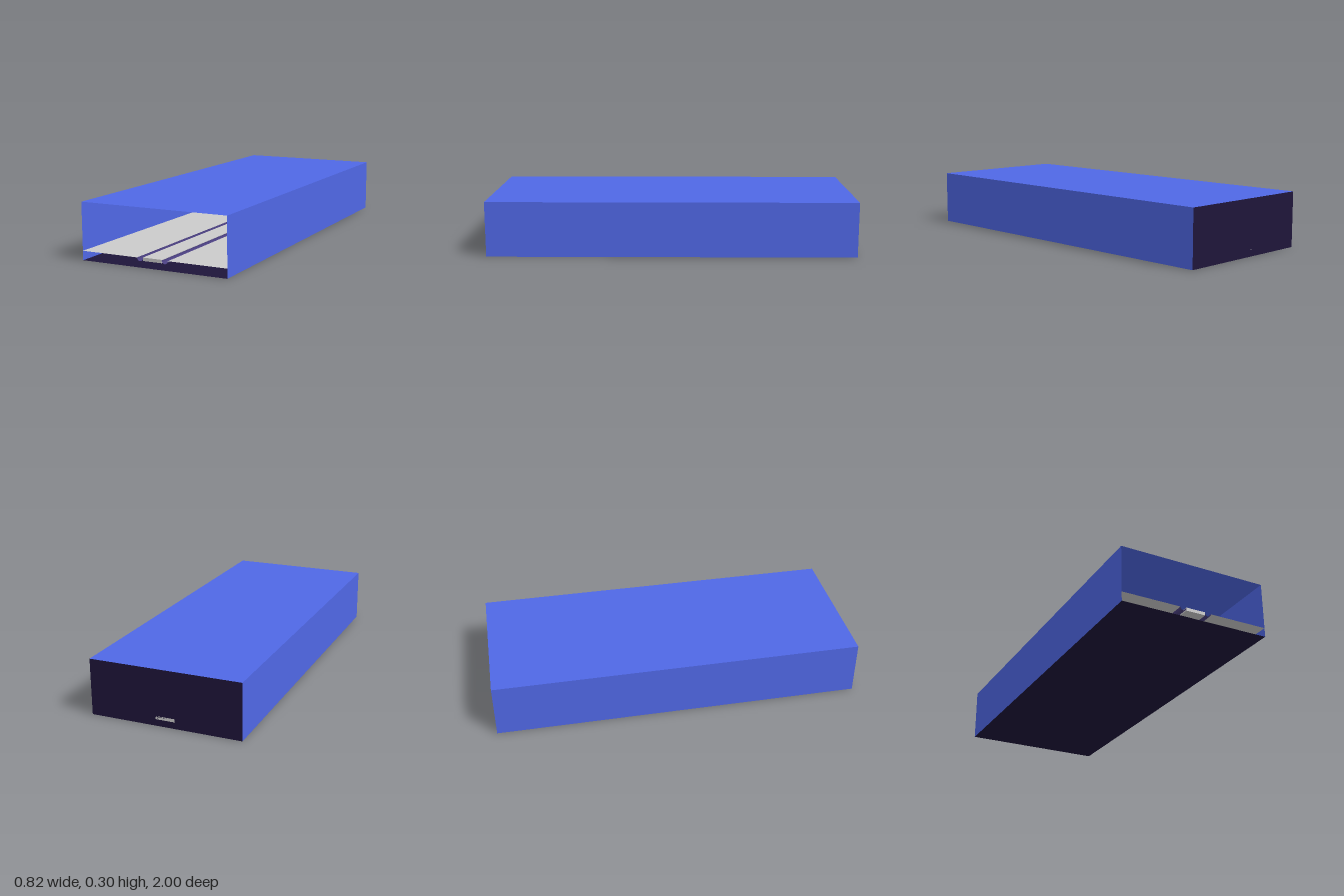
import * as THREE from 'three';

const W = 0.816, H = 0.3, L = 2;
const FLOOR_Y = 0.049, LANE_HALF = 0.053, GUTTER_OUT = 0.087, MASK_Z = -0.85;

const material = (color) => new THREE.MeshStandardMaterial({ color, side: THREE.DoubleSide, flatShading: true });

export function createModel() {
  const group = new THREE.Group();
  const blue = material(0x5068e6);
  const dark = material(0x1e153a);
  const purple = material(0x4a3f80);
  const grey = material(0xcccccc);

  const add = (name, geometry, mat, x, y, z) => {
    const mesh = new THREE.Mesh(geometry, mat);
    mesh.name = name;
    mesh.position.set(x, y, z);
    group.add(mesh);
    return mesh;
  };
  const level = (w, l) => new THREE.PlaneGeometry(w, l).rotateX(-Math.PI / 2);
  const upright = (w, h) => new THREE.PlaneGeometry(w, h);

  // Thin hall shell, open at the front
  add('ceiling', level(W, L), blue, 0, H, 0);
  add('baseFloor', level(W, L), dark, 0, 0, 0);
  add('backWall', upright(W, H), dark, 0, H / 2, -L / 2);

  // Panel hanging above the dark pit at the far end
  add('maskingPanel', upright(W, H - 0.11), grey, 0, (H + 0.11) / 2, MASK_Z);

  // Raised centre lane
  add('lane', new THREE.BoxGeometry(LANE_HALF * 2, 0.017, L), grey, 0, 0.0435, 0);

  // Side walls, side floors and round gutters, mirrored
  const sideWidth = W / 2 - GUTTER_OUT;
  const gutterRadius = (GUTTER_OUT - LANE_HALF) / 2;
  for (const [side, s] of [['left', 1], ['right', -1]]) {
    add(side + 'Wall', upright(L, H).rotateY(s * Math.PI / 2), blue, s * W / 2, H / 2, 0);
    add(side + 'Floor', level(sideWidth, L), grey, s * (GUTTER_OUT + sideWidth / 2), FLOOR_Y, 0);
    const trough = new THREE.CylinderGeometry(gutterRadius, gutterRadius, L, 10, 1, true, -Math.PI / 2, Math.PI);
    trough.rotateX(Math.PI / 2);
    add(side + 'Gutter', trough, purple, s * (LANE_HALF + gutterRadius), FLOOR_Y, 0);
  }
  return group;
}
